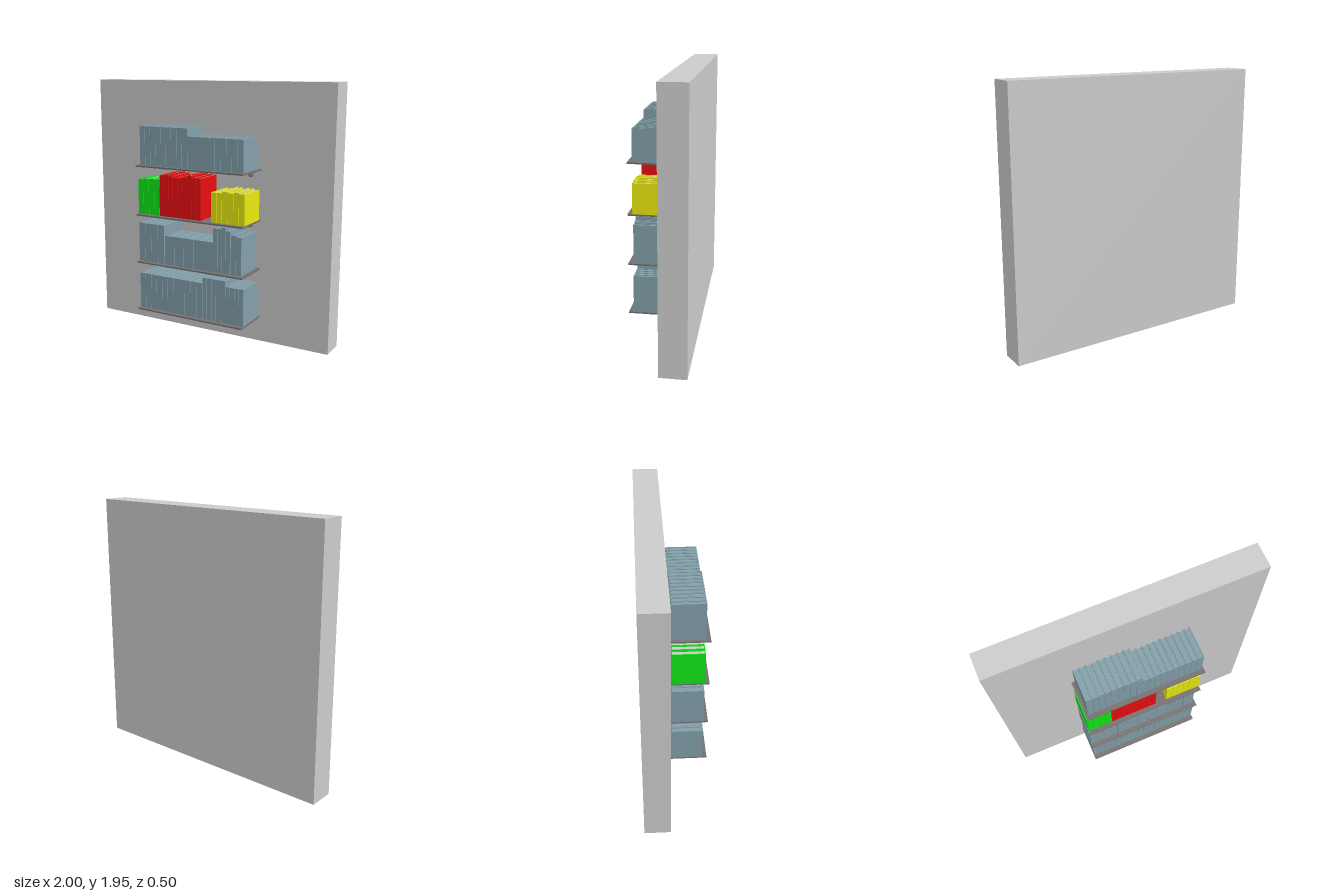
import * as THREE from 'three';

const material = (color) => new THREE.MeshStandardMaterial({ color, flatShading: true });
const wallMat = material(0xcccccc);
const shelfMat = material(0x767070);
const pageMat = material(0xcccccc);
const blue = material(0x829fa9);
const green = material(0x10e616);
const red = material(0xe80e10);
const yellow = material(0xe8e810);

// Box given by its minimum and maximum corners
function box(name, mat, [x0, y0, z0], [x1, y1, z1]) {
  const mesh = new THREE.Mesh(new THREE.BoxGeometry(x1 - x0, y1 - y0, z1 - z0), mat);
  mesh.position.set((x0 + x1) / 2, (y0 + y1) / 2, (z0 + z1) / 2);
  mesh.name = name;
  return mesh;
}

// Hardback book: U-shaped cover (spine to the front) around a recessed page block
const BACK = -0.025, FRONT = 0.215;
function book(x0, x1, y0, y1, mat) {
  const g = new THREE.Group();
  g.name = 'book';
  const t = Math.min(0.006, (x1 - x0) * 0.18);
  const outline = [
    [x0, -FRONT], [x1, -FRONT], [x1, -BACK], [x1 - t, -BACK],
    [x1 - t, t - FRONT], [x0 + t, t - FRONT], [x0 + t, -BACK], [x0, -BACK],
  ].map(([x, y]) => new THREE.Vector2(x, y));
  const geo = new THREE.ExtrudeGeometry(new THREE.Shape(outline), { depth: y1 - y0, bevelEnabled: false });
  geo.rotateX(-Math.PI / 2);
  const cover = new THREE.Mesh(geo, mat);
  cover.name = 'cover';
  cover.position.y = y0;
  g.add(cover, box('pages', mat === blue ? blue : pageMat,
    [x0 + t, y0 + 0.004, BACK + 0.006], [x1 - t, y1 - 0.006, FRONT - t]));
  return g;
}

// Shelf bracket: side profile extruded across its width
function bracket(x, y) {
  const s = new THREE.Shape();
  s.moveTo(-0.09, 0);
  s.lineTo(-0.09, -0.006);
  s.quadraticCurveTo(-0.02, -0.02, 0.0, -0.03);
  s.quadraticCurveTo(0.012, -0.05, 0.025, -0.05);
  s.lineTo(0.055, -0.052);
  s.lineTo(0.055, 0);
  const geo = new THREE.ExtrudeGeometry(s, { depth: 0.014, bevelEnabled: false, curveSegments: 5 });
  geo.translate(0, 0, -0.007);
  geo.rotateY(Math.PI / 2);
  const mesh = new THREE.Mesh(geo, shelfMat);
  mesh.name = 'bracket';
  mesh.position.set(x, y, 0);
  return mesh;
}

// Each run of books: [start x, end x, colour, top heights of its books]
const same = (n, h) => Array(n).fill(h);
const shelves = [
  { y: 0.197, runs: [
    [-0.45, 0.105, blue, same(11, 0.475)],
    [0.107, 0.3, blue, same(5, 0.52)],
    [0.3, 0.448, blue, same(4, 0.478)],
  ] },
  { y: 0.575, runs: [
    [-0.453, -0.225, blue, same(4, 0.875)],
    [-0.22, 0.198, blue, same(5, 0.798)],
    [0.198, 0.267, blue, same(2, 0.905)],
    [0.267, 0.337, blue, [0.918, 0.895]],
    [0.342, 0.428, blue, [0.87, 0.86]],
  ] },
  { y: 0.947, runs: [
    [-0.453, -0.262, green, [1.213, 1.22, 1.222, 1.222]],
    [-0.262, 0.093, red, [1.255, 1.262, 1.255, 1.245, 1.248, 1.252, 1.27, 1.26, 1.256]],
    [0.178, 0.45, yellow, [1.167, 1.167, 1.18, 1.172, 1.18, 1.174]],
  ] },
  { y: 1.322, runs: [
    [-0.432, -0.018, blue, same(9, 1.614)],
    [-0.018, 0.437, blue, same(10, 1.556)],
  ] },
];

export function createModel() {
  const model = new THREE.Group();
  model.name = 'wallBookshelves';
  model.add(box('wall', wallMat, [-1, 0, -0.25], [1, 1.945, -0.055]));

  shelves.forEach(({ y, runs }, i) => {
    const unit = new THREE.Group();
    unit.name = `shelf${i + 1}`;
    unit.add(box('board', shelfMat, [-0.452, y - 0.011, -0.052], [0.452, y, 0.25]));
    for (const x of [-0.38, 0.377]) unit.add(bracket(x, y - 0.011));
    for (const [x0, x1, mat, tops] of runs) {
      const w = (x1 - x0) / tops.length;
      tops.forEach((top, k) => unit.add(book(x0 + k * w, x0 + (k + 1) * w - 0.002, y, top, mat)));
    }
    model.add(unit);
  });
  return model;
}
